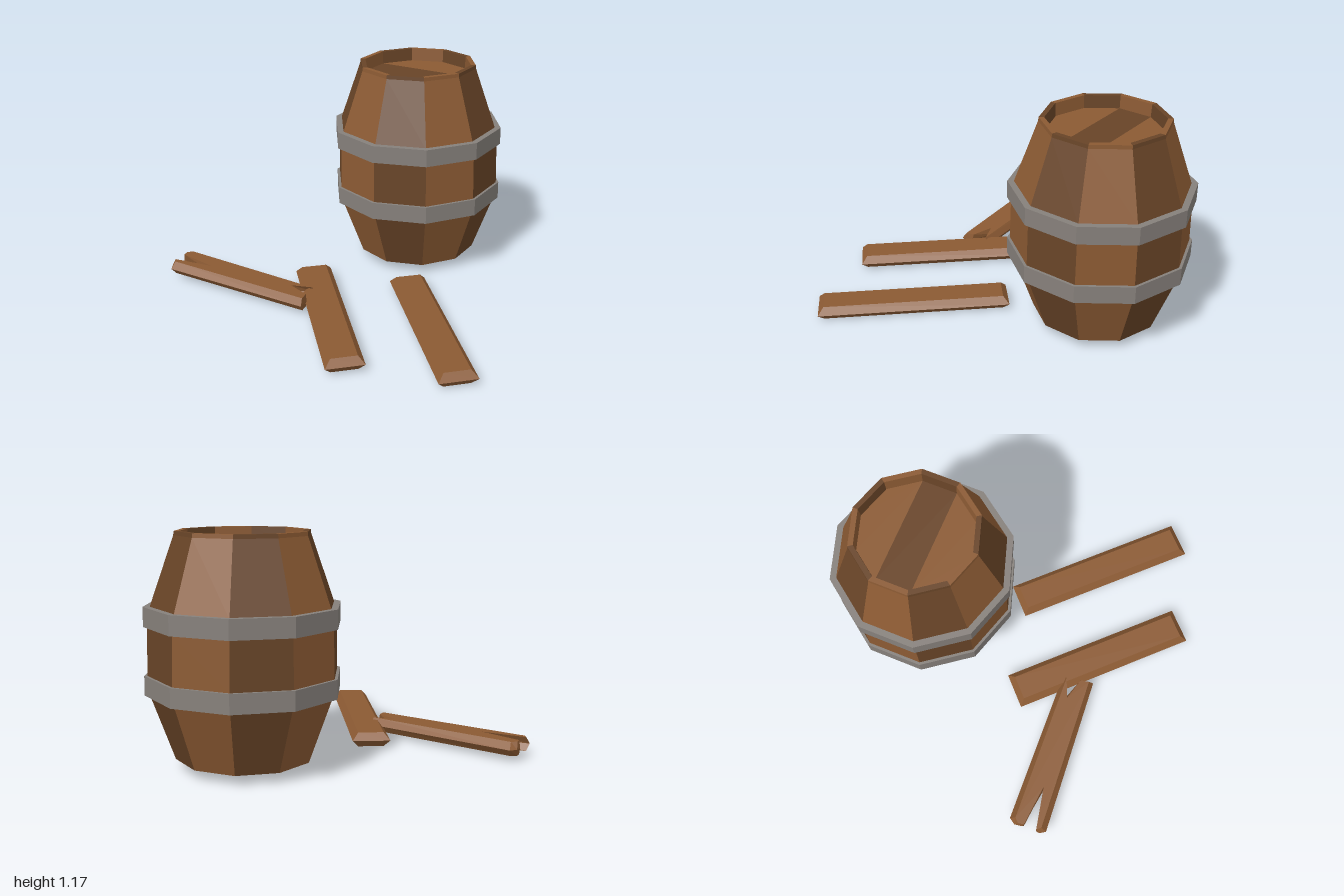
import * as THREE from 'three';

const flat = (color) => new THREE.MeshStandardMaterial({ color, flatShading: true });
const LIGHT = flat(0x8b5a33), DARK = flat(0x684427), METAL = flat(0x86807b);
const SIDES = 10, STEP = (Math.PI * 2) / SIDES;

function add(parent, name, geometry, material) {
  const mesh = new THREE.Mesh(geometry, material);
  mesh.name = name;
  parent.add(mesh);
  return mesh;
}

const toShape = (pts) => new THREE.Shape(pts.map(([x, y]) => new THREE.Vector2(x, y)));

// Flat slab, widest at mid height, with top and bottom drawn in to form sloping edges
function slab(outline, height, scaleWidth, scaleLength) {
  const geo = new THREE.ExtrudeGeometry(toShape(outline), { depth: height, steps: 2, bevelEnabled: false });
  const p = geo.attributes.position;
  for (let i = 0; i < p.count; i++) {
    const z = p.getZ(i) - height / 2;
    const outer = Math.abs(z) > height / 4;
    p.setXYZ(i, p.getX(i) * (outer ? scaleWidth : 1), p.getY(i) * (outer ? scaleLength : 1), z);
  }
  geo.rotateX(-Math.PI / 2);
  geo.computeVertexNormals();
  return geo;
}

function createBarrel() {
  const barrel = new THREE.Group();
  barrel.name = 'barrel';

  // Staves in alternating wood tones, each with its slice of base and rim
  const profile = [
    [0, 0.05], [0.345, 0.05], [0.467, 0.385], [0.475, 0.475], [0.47, 0.715], [0.458, 0.805],
    [0.337, 1.15], [0.335, 1.17], [0.307, 1.17], [0.302, 1.1],
  ].map(([r, y]) => new THREE.Vector2(r, y));
  for (let i = 0; i < SIDES; i++) {
    add(barrel, 'stave', new THREE.LatheGeometry(profile, 1, i * STEP, STEP), i % 2 ? LIGHT : DARK);
  }

  // Metal hoops
  for (const y of [0.427, 0.763]) {
    add(barrel, 'hoop', new THREE.CylinderGeometry(0.49, 0.49, 0.097, SIDES), METAL).position.y = y;
  }

  // Recessed lid of three boards, cut along chords of the decagon
  const boards = [[[0, -1, -2, -3, -4], LIGHT], [[0, 1, 5, 6], DARK], [[1, 2, 3, 4, 5], LIGHT]];
  for (const [corners, material] of boards) {
    const pts = corners.map((k) => [0.303 * Math.sin(k * STEP), -0.303 * Math.cos(k * STEP)]);
    const geo = new THREE.ShapeGeometry(toShape(pts)).rotateX(-Math.PI / 2);
    add(barrel, 'lidBoard', geo, material).position.y = 1.1;
  }

  barrel.position.set(0.435, 0, -0.32);
  return barrel;
}

export function createModel() {
  const model = new THREE.Group();
  model.name = 'barrelAndPlanks';
  model.add(createBarrel());

  // Two whole planks lying side by side
  const whole = slab([[-0.1, -0.525], [0.1, -0.525], [0.1, 0.525], [-0.1, 0.525]], 0.076, 0.68, 0.94);
  for (const [x, y, z] of [[-0.183, 0.038, 0.479], [-0.515, 0.042, 0.04]]) {
    const plank = add(model, 'plank', whole, LIGHT);
    plank.position.set(x, y, z);
    plank.rotation.y = -0.49;
  }

  // Split plank, notched at both ends, resting on its neighbour
  const split = slab([
    [-0.089, -0.447], [-0.022, -0.439], [0.035, -0.311], [0.089, -0.426], [0.104, 0.43],
    [0.07, 0.454], [0.026, 0.449], [-0.022, 0.216], [-0.074, 0.453], [-0.107, 0.433],
  ], 0.074, 0.72, 0.98);
  const broken = add(model, 'brokenPlank', split, LIGHT);
  broken.position.set(-0.66, 0.06, -0.55);
  broken.rotation.set(0.017, 0.351, 0, 'YXZ');

  return model;
}
